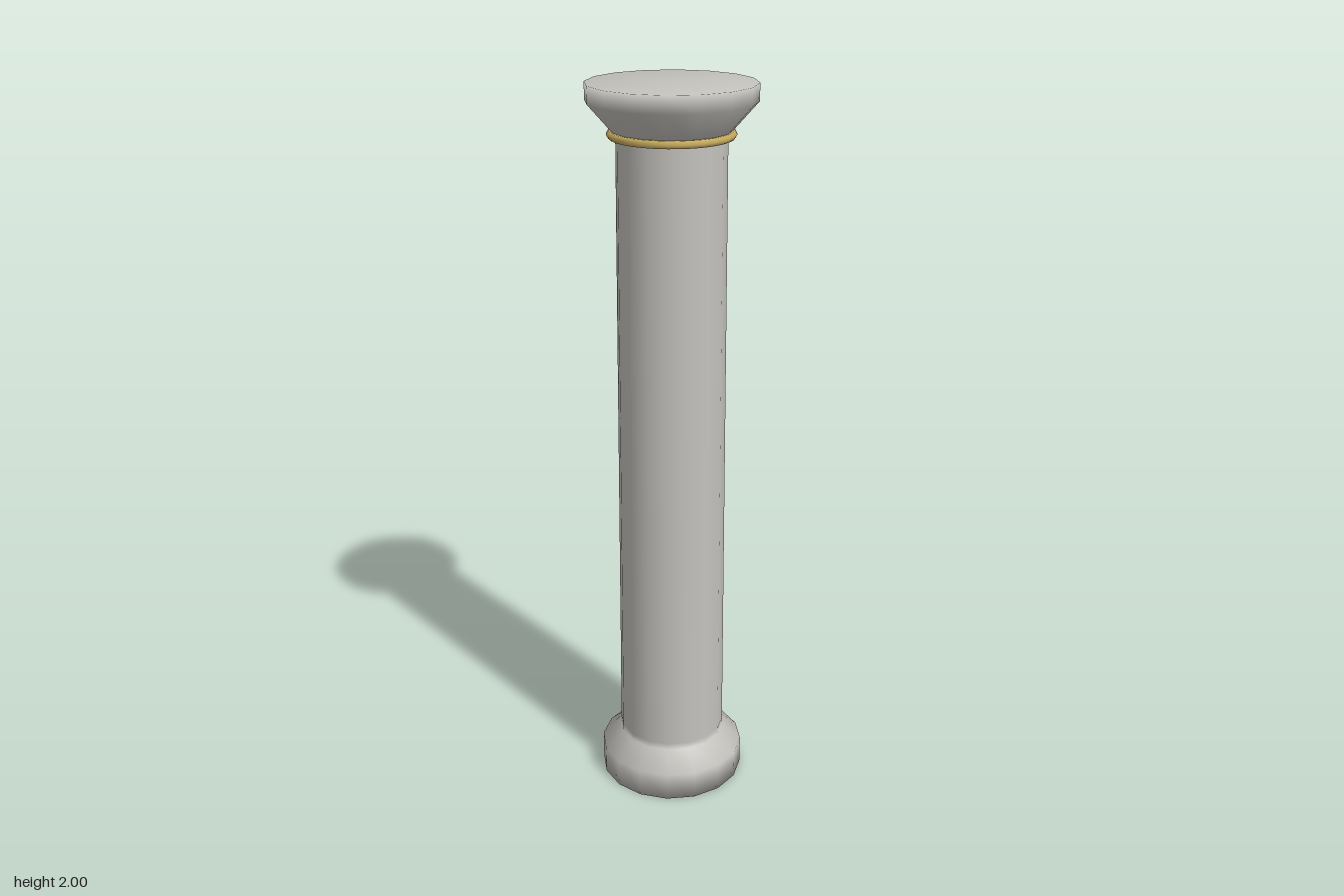
import * as THREE from 'three';

const SIDES = 16;

// Turned part from [radius, height] pairs, listed bottom to top
function turned(name, profile, material) {
  const points = profile.map(([r, y]) => new THREE.Vector2(r, y));
  const mesh = new THREE.Mesh(new THREE.LatheGeometry(points, SIDES), material);
  mesh.name = name;
  return mesh;
}

export function createModel() {
  const stone = new THREE.MeshStandardMaterial({ color: 0xc4c2bd });
  stone.name = 'stone';
  const gold = new THREE.MeshStandardMaterial({ color: 0xc9ad60 });
  gold.name = 'gold';

  const column = new THREE.Group();
  column.name = 'column';

  // Foot with a sloped shoulder running softly into the shaft
  column.add(turned('base', [[0, 0], [0.205, 0], [0.205, 0.08], [0.15, 0.13], [0.15, 0.15]], stone));

  // Slightly tapering shaft
  column.add(turned('shaft', [[0.15, 0.15], [0.143, 1.87]], stone));

  // Flared head with a short neck and a flat top
  column.add(turned('capital', [[0.143, 1.87], [0.155, 1.882], [0.22, 1.955], [0.22, 2], [0, 2]], stone));

  // Gilded ring below the head
  const ring = new THREE.Mesh(new THREE.TorusGeometry(0.155, 0.011, 6, SIDES * 2), gold);
  ring.name = 'neckRing';
  ring.rotation.x = Math.PI / 2;
  ring.position.y = 1.873;
  column.add(ring);

  return column;
}
